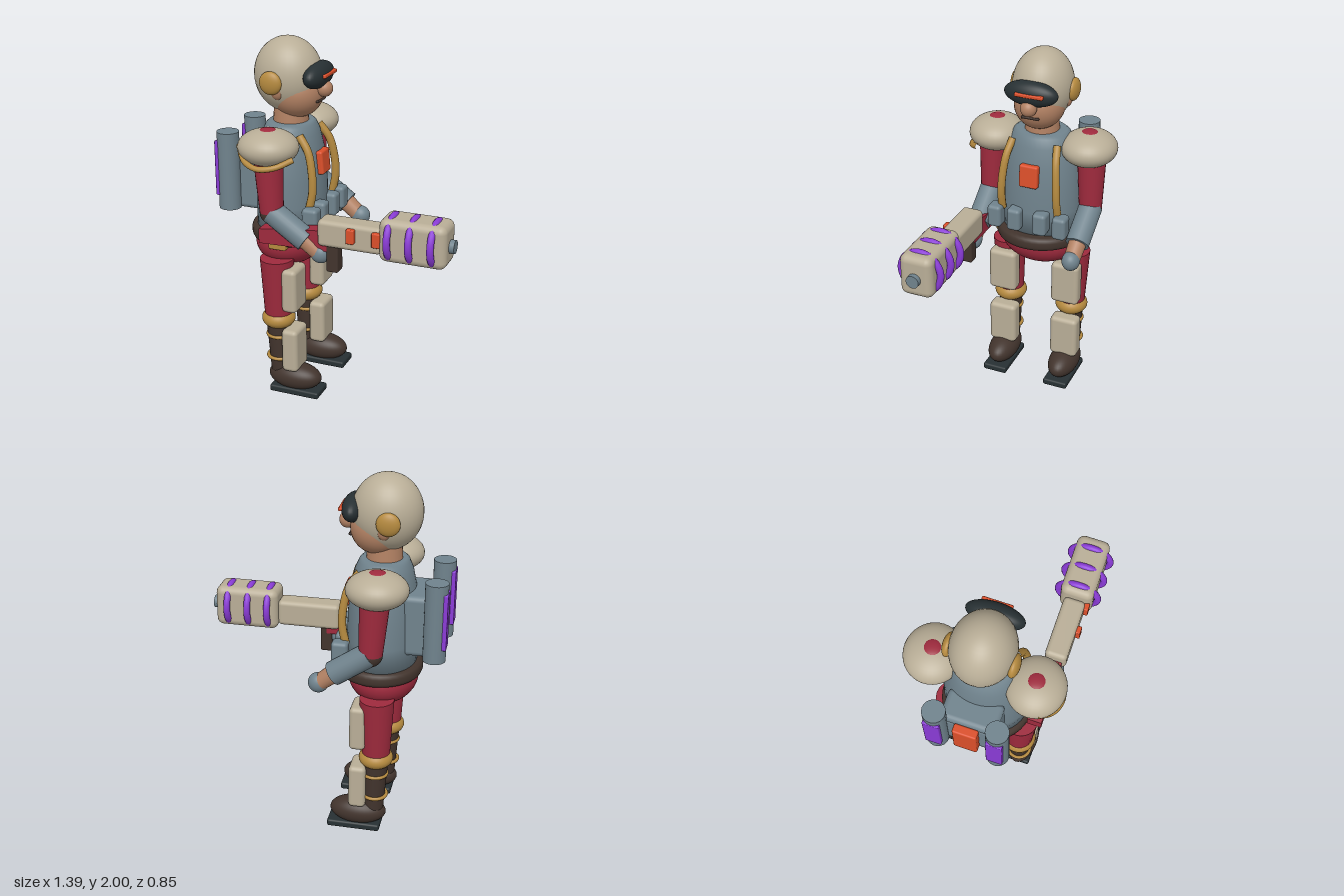
import * as THREE from 'three';
import { RoundedBoxGeometry } from 'three/addons/geometries/RoundedBoxGeometry.js';

const paint = (name, color) => {
  const m = new THREE.MeshStandardMaterial({ color });
  m.name = name;
  return m;
};

export function createModel() {
  const model = new THREE.Group();
  model.name = 'armouredTrooper';
  const tan = paint('tanArmour', 0xb9ae97), steel = paint('blueGrey', 0x70838d);
  const red = paint('crimson', 0x9e2a3d), brown = paint('darkBrown', 0x42342d);
  const black = paint('charcoal', 0x273033), gold = paint('ochre', 0xb58a3f);
  const skin = paint('skin', 0xb28163), purple = paint('violet', 0x8a3bd6);
  const orange = paint('orange', 0xdb4f2a);

  const add = (name, geo, mat, x = 0, y = 0, z = 0) => {
    const mesh = new THREE.Mesh(geo, mat);
    mesh.name = name;
    mesh.position.set(x, y, z);
    model.add(mesh);
    return mesh;
  };
  const ball = (name, mat, [x, y, z], [rx, ry, rz]) =>
    add(name, new THREE.SphereGeometry(1, 36, 24).scale(rx, ry, rz), mat, x, y, z);
  const box = (name, mat, [x, y, z], [w, h, d], r = 0.012) =>
    add(name, new RoundedBoxGeometry(w, h, d, 3, r), mat, x, y, z);
  const limb = (name, mat, a, b, ra, rb) => {
    const p = new THREE.Vector3(...a), q = new THREE.Vector3(...b);
    const dir = q.clone().sub(p);
    const mesh = add(name, new THREE.CylinderGeometry(rb, ra, dir.length(), 24), mat);
    mesh.position.copy(p.add(q).multiplyScalar(0.5));
    mesh.quaternion.setFromUnitVectors(new THREE.Vector3(0, 1, 0), dir.normalize());
    return mesh;
  };
  const tube = (name, mat, pts, r) => {
    const curve = new THREE.CatmullRomCurve3(pts.map((p) => new THREE.Vector3(...p)));
    return add(name, new THREE.TubeGeometry(curve, 24, r, 10), mat);
  };
  const lathe = (name, mat, pts, x, sx) =>
    add(name, new THREE.LatheGeometry(pts.map((p) => new THREE.Vector2(...p)), 40).scale(sx, 1, 1), mat, x);

  // The figure faces +x, with its sides on +z and -z
  const cx = -0.345;

  // Head
  ball('helmet', tan, [cx, 1.795, 0], [0.187, 0.205, 0.166]);
  ball('face', skin, [-0.297, 1.705, 0], [0.145, 0.14, 0.14]);
  ball('nose', skin, [-0.138, 1.735, 0], [0.045, 0.045, 0.045]);
  box('mouth', brown, [-0.166, 1.671, 0], [0.03, 0.014, 0.1], 0.005);
  ball('visor', black, [-0.172, 1.807, 0], [0.062, 0.07, 0.152]);
  box('visorStrip', orange, [-0.12, 1.815, -0.01], [0.035, 0.02, 0.16], 0.006);
  add('neck', new THREE.CylinderGeometry(0.09, 0.1, 0.14, 28), skin, -0.335, 1.56, 0);
  for (const s of [1, -1]) {
    ball('earDisc', gold, [-0.375, 1.78, s * 0.165], [0.063, 0.063, 0.03]);
    ball('ear', skin, [-0.35, 1.735, s * 0.135], [0.038, 0.05, 0.03]);
  }

  // Torso, belt and hips
  lathe('torso', steel, [[0, 0.94], [0.225, 0.94], [0.23, 1.1], [0.225, 1.25], [0.21, 1.38],
    [0.185, 1.48], [0.16, 1.53], [0.14, 1.545], [0, 1.545]], -0.335, 0.83);
  lathe('belt', brown, [[0, 0.888], [0.225, 0.888], [0.243, 0.898], [0.25, 0.915], [0.25, 0.942],
    [0.243, 0.958], [0.225, 0.968], [0, 0.968]], -0.325, 0.93);
  ball('hips', red, [cx, 0.87, 0], [0.19, 0.15, 0.235]);
  box('beltClip', gold, [-0.32, 0.905, 0.225], [0.1, 0.055, 0.06], 0.008);
  for (const z of [-0.192, -0.076, 0.076, 0.192])
    box('beltPouch', steel, [-0.14, 1.062, z], [0.09, 0.13, 0.08], 0.02);
  box('chestPlate', orange, [-0.155, 1.33, 0], [0.05, 0.13, 0.108]).rotation.z = 0.08;

  // Backpack with two tanks
  box('backpack', steel, [-0.54, 1.22, 0], [0.17, 0.34, 0.3], 0.03);
  box('tankBridge', steel, [-0.595, 1.22, 0], [0.07, 0.26, 0.24], 0.01);
  box('packPanel', orange, [-0.65, 1.24, 0], [0.05, 0.26, 0.13], 0.01);

  for (const s of [1, -1]) {
    add('tank', new THREE.CylinderGeometry(0.061, 0.061, 0.435, 20), steel, -0.635, 1.2725, s * 0.166);
    box('tankStripe', purple, [-0.681, 1.285, s * 0.166], [0.036, 0.31, 0.088], 0.006);

    // Harness strap
    tube('strap', gold, [[-0.23, 1.5, s * 0.13], [-0.175, 1.42, s * 0.145], [-0.148, 1.3, s * 0.158],
      [-0.145, 1.2, s * 0.163], [-0.165, 1.1, s * 0.165]], 0.022);

    // Arm
    ball('shoulderPad', tan, [cx, 1.47, s * 0.272], [0.164, 0.097, 0.155]);
    ball('shoulderCap', red, [cx, 1.558, s * 0.272], [0.046, 0.014, 0.046]);
    limb('upperArm', red, [-0.34, 1.46, s * 0.29], [-0.322, 1.12, s * 0.298], 0.082, 0.064);
    ball('elbow', brown, [-0.322, 1.115, s * 0.298], [0.064, 0.064, 0.064]);
    limb('forearm', steel, [-0.32, 1.12, s * 0.3], [-0.125, 0.985, s * 0.297], 0.066, 0.066);
    limb('wrist', skin, [-0.14, 0.995, s * 0.297], [-0.06, 0.93, s * 0.295], 0.05, 0.046);
    ball('hand', steel, [-0.045, 0.922, s * 0.293], [0.055, 0.055, 0.05]);

    // Leg
    const z = s * 0.193;
    limb('thigh', red, [-0.345, 0.81, s * 0.2], [-0.345, 0.46, z], 0.094, 0.076);
    ball('knee', gold, [cx, 0.445, z], [0.094, 0.06, 0.094]);
    limb('shin', brown, [-0.345, 0.41, z], [-0.335, 0.1, z], 0.068, 0.055);
    for (const y of [0.345, 0.21])
      add('shinRing', new THREE.TorusGeometry(0.066, 0.01, 8, 32).rotateX(Math.PI / 2), gold, -0.342, y, z);
    box('thighPlate', tan, [-0.25, 0.643, z], [0.088, 0.255, 0.165], 0.025);
    box('shinPlate', tan, [-0.252, 0.277, z], [0.095, 0.255, 0.165], 0.025);
    ball('boot', brown, [-0.25, 0.095, z], [0.157, 0.078, 0.085]);
    box('sole', black, [-0.233, 0.02, z], [0.295, 0.04, 0.145], 0.012);
  }

  // Cord around the right shoulder pad
  tube('padCord', gold, [[-0.49, 1.475, 0.32], [-0.43, 1.415, 0.385], [-0.35, 1.39, 0.41],
    [-0.26, 1.4, 0.39], [-0.185, 1.43, 0.32]], 0.016);

  // Cannon: tapered stock, receiver, ringed barrel
  const gz = 0.286;
  const stock = new THREE.BoxGeometry(0.42, 0.12, 0.08);
  const p = stock.attributes.position;
  for (let i = 0; i < p.count; i++)
    if (p.getX(i) < 0) p.setY(i, p.getY(i) * 0.68 - 0.03);
  stock.computeVertexNormals();
  add('stock', stock, red, -0.18, 1.01, gz);
  box('grip', brown, [0.033, 0.915, gz + 0.005], [0.066, 0.16, 0.075], 0.01);
  box('receiver', tan, [0.132, 1.055, gz], [0.355, 0.148, 0.122], 0.025);
  box('barrel', tan, [0.485, 1.078, gz], [0.36, 0.235, 0.185], 0.04);
  for (const x of [0.36, 0.475, 0.592])
    add('barrelRing', new THREE.TorusGeometry(0.113, 0.019, 12, 40).rotateY(Math.PI / 2), purple, x, 1.078, gz);
  add('muzzle', new THREE.CylinderGeometry(0.036, 0.036, 0.06, 20).rotateZ(Math.PI / 2), steel, 0.662, 1.07, gz);
  for (const x of [0.148, 0.29])
    box('sideLight', orange, [x, 1.07, 0.356], [0.045, 0.08, 0.03], 0.006);

  return model;
}
